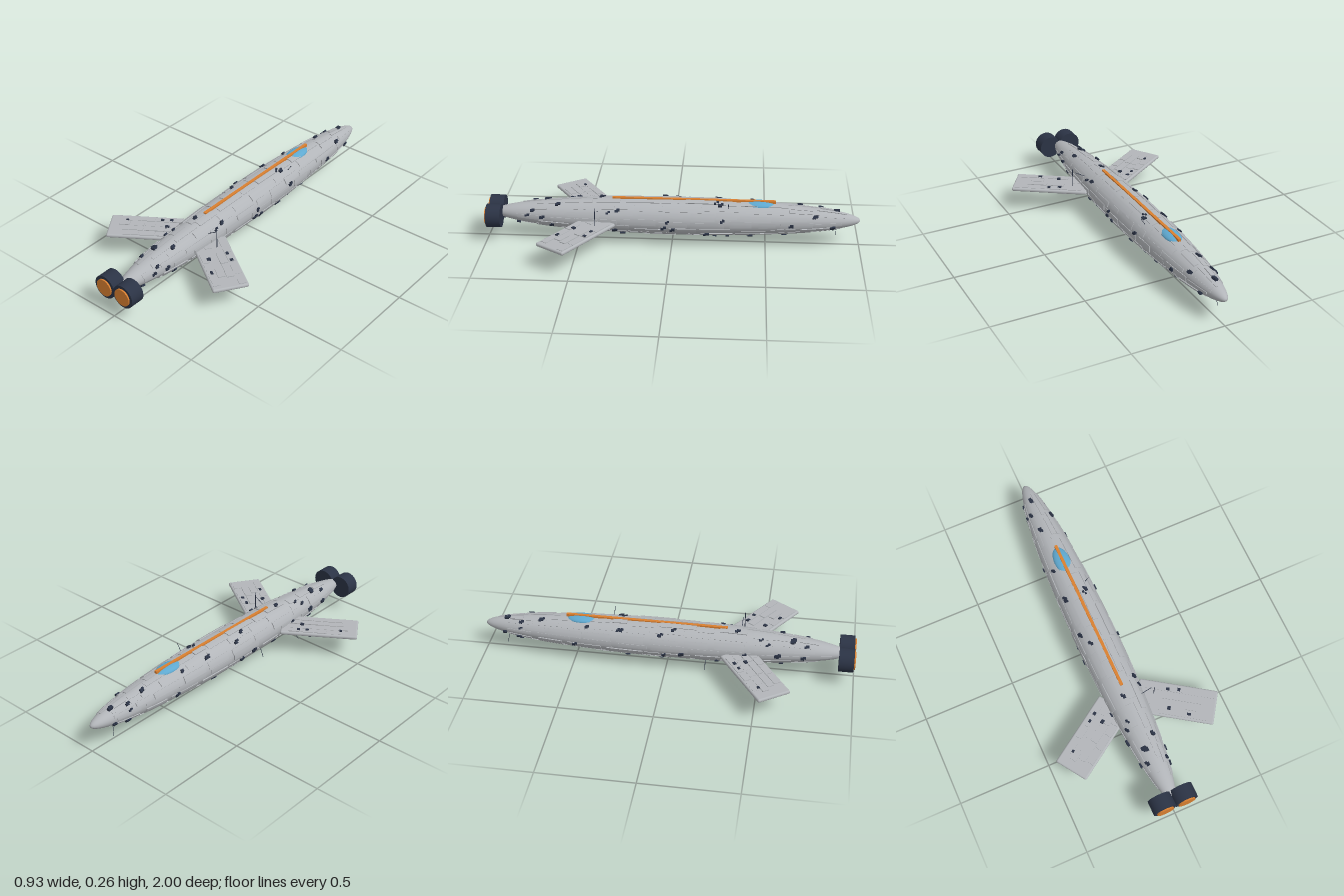
import * as THREE from 'three';
import { mergeGeometries } from 'three/addons/utils/BufferGeometryUtils.js';
import { RoundedBoxGeometry } from 'three/addons/geometries/RoundedBoxGeometry.js';

const mat = (name, color) => {
  const m = new THREE.MeshStandardMaterial({ color });
  m.name = name;
  return m;
};

// Hull ellipsoid: centre and radii
const CY = 0.145, CZ = -0.02, RX = 0.11, RY = 0.096, RZ = 0.98;

// Seeded random numbers
function seeded(seed) {
  let s = seed;
  return (a = 0, b = 1) => {
    s = (s * 16807) % 2147483647;
    return a + (b - a) * (s / 2147483647);
  };
}

// Point on the hull at angle t (0 = top) and length z, raised by h
function hullPoint(t, z, h = 0) {
  const k = Math.sqrt(Math.max(0, 1 - ((z - CZ) / RZ) ** 2));
  return new THREE.Vector3((RX * k + h) * Math.sin(t), CY + (RY * k + h) * Math.cos(t), z);
}

// Raised patch wrapped round the hull
function hullPatch(t, z, dt, dz, h) {
  const g = new THREE.BoxGeometry(dt, 1, dz, 3, 1, 4);
  const p = g.attributes.position;
  for (let i = 0; i < p.count; i++) {
    const v = hullPoint(t + p.getX(i), z + p.getZ(i), p.getY(i) > 0 ? h : -0.004);
    p.setXYZ(i, v.x, v.y, v.z);
  }
  g.computeVertexNormals();
  return g;
}

export function createModel() {
  const model = new THREE.Group();
  model.name = 'spaceship';
  const grey = mat('hullGrey', 0xb2b5b9);
  const navy = mat('darkNavy', 0x2b3345);
  const orange = mat('orange', 0xd97f30);
  const blue = mat('canopyBlue', 0x5fa9d0);
  const rand = seeded(4217);

  const add = (parent, name, geometry, material, x = 0, y = 0, z = 0) => {
    const m = new THREE.Mesh(geometry, material);
    m.name = name;
    m.position.set(x, y, z);
    parent.add(m);
    return m;
  };

  // Hull
  const hull = new THREE.SphereGeometry(1, 40, 40).rotateX(Math.PI / 2).scale(RX, RY, RZ);
  add(model, 'hull', hull, grey, 0, CY, CZ);

  // Staggered armour plates
  const plates = [];
  for (let row = 0; row < 14; row++) {
    let z = -0.93 + rand(0, 0.08);
    while (z < 0.8) {
      const len = rand(0.07, 0.2);
      if (z + len < 0.88) {
        const t = (row + rand(0.3, 0.7)) * Math.PI * 2 / 14;
        plates.push(hullPatch(t, z + len / 2, rand(0.2, 0.42), len, rand(0.002, 0.0055)));
      }
      z += len + rand(0.005, 0.04);
    }
  }
  add(model, 'hullPlates', mergeGeometries(plates), grey);

  // Small dark fittings in pairs over the hull
  const fittings = [];
  for (let i = 0; i < 58; i++) {
    const t = rand(0.18, Math.PI * 2 - 0.18), z = rand(-0.9, 0.85);
    for (let j = 0; j < 2; j++) {
      const s = rand(0.008, 0.017);
      const b = new THREE.BoxGeometry(s, 0.016, s * rand(1, 1.5));
      b.rotateZ(-t);
      const p = hullPoint(t + j * 0.08, z + j * rand(0.006, 0.014), 0.002);
      fittings.push(b.translate(p.x, p.y, p.z));
    }
  }
  add(model, 'hullFittings', mergeGeometries(fittings), navy);

  // Canopy and spine stripe
  add(model, 'canopy', new THREE.SphereGeometry(1, 28, 18).scale(0.044, 0.021, 0.088), blue, 0, 0.222, -0.46);
  add(model, 'spineStripe', new THREE.BoxGeometry(0.016, 0.014, 0.87), orange, 0, 0.239, -0.115);

  // Swept wings with panels and fittings on both faces
  for (const side of [1, -1]) {
    const wing = new THREE.Group();
    wing.name = side > 0 ? 'leftWing' : 'rightWing';
    wing.position.set(side * 0.24, 0.133, 0.488);
    wing.rotation.y = -side * 0.588;
    model.add(wing);
    add(wing, 'wingSlab', new RoundedBoxGeometry(0.42, 0.02, 0.185, 3, 0.009), grey);
    const panels = [], bits = [];
    for (const face of [1, -1]) {
      for (let r = 0; r < 4; r++) {
        let x = -0.19 + rand(0, 0.03);
        while (x < 0.13) {
          const w = rand(0.05, 0.11), h = rand(0.003, 0.01);
          if (x + w < 0.2 && rand() > 0.2) {
            panels.push(new THREE.BoxGeometry(w, h, 0.036)
              .translate(side * (x + w / 2), face * 0.0095, -0.063 + r * 0.042));
          }
          x += w + 0.006;
        }
      }
      for (let i = 0; i < 4; i++) {
        bits.push(new THREE.BoxGeometry(rand(0.012, 0.022), 0.016, rand(0.01, 0.02))
          .translate(side * rand(-0.12, 0.18), face * 0.0095, rand(-0.075, 0.075)));
      }
    }
    add(wing, 'wingPanels', mergeGeometries(panels), grey);
    add(wing, 'wingFittings', mergeGeometries(bits), navy);
  }

  // Twin engines with glowing nozzles
  for (const side of [1, -1]) {
    const engine = new THREE.Group();
    engine.name = side > 0 ? 'leftEngine' : 'rightEngine';
    engine.position.set(side * 0.06, 0.144, 0);
    model.add(engine);
    const cyl = (r, len) => new THREE.CylinderGeometry(r, r, len, 32).rotateX(Math.PI / 2);
    add(engine, 'engineHousing', cyl(0.063, 0.078), navy, 0, 0, 0.953);
    add(engine, 'engineGlow', cyl(0.047, 0.02), orange, 0, 0, 0.99);
  }

  // Thin antennas: start and end points, radius
  const antennas = [
    [[0.15, 0.13, 0.4], [0.15, 0.245, 0.4], 0.002],
    [[0.05, 0.2, -0.3], [0.087, 0.259, -0.3], 0.0015],
    [[0.07, 0.185, 0.39], [0.137, 0.225, 0.39], 0.0015],
    [[-0.06, 0.095, 0.45], [-0.125, 0.032, 0.45], 0.0015],
    [[-0.04, 0.075, 0.21], [-0.07, 0.001, 0.21], 0.0015],
    [[-0.015, 0.11, -0.87], [-0.03, 0.04, -0.88], 0.0012],
  ];
  for (const [a, b, r] of antennas) {
    const path = new THREE.LineCurve3(new THREE.Vector3(...a), new THREE.Vector3(...b));
    add(model, 'antenna', new THREE.TubeGeometry(path, 1, r, 6), navy);
  }
  return model;
}
